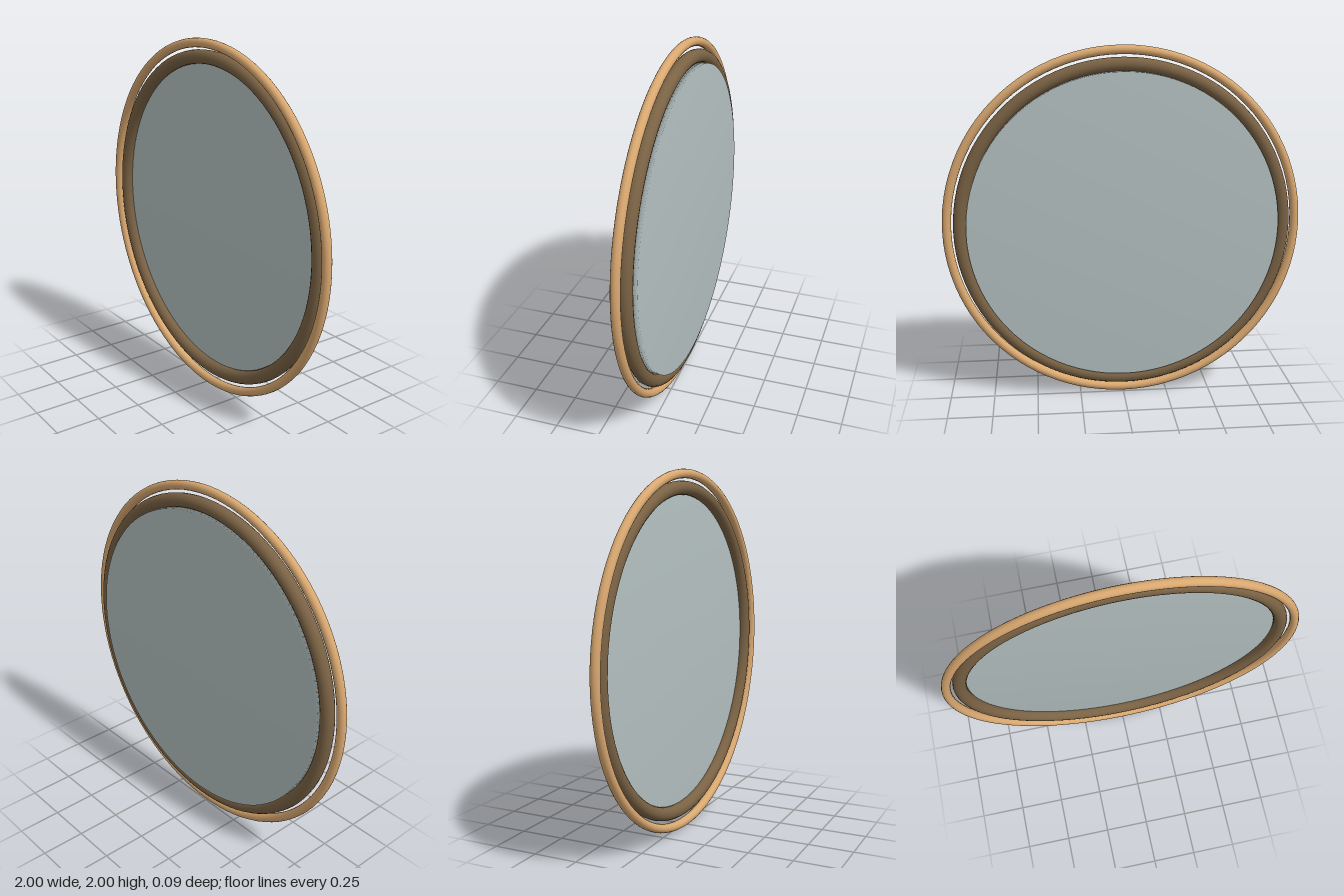
import * as THREE from 'three';

export function createModel() {
  const model = new THREE.Group();

  const add = (name, geometry, color, z) => {
    const mesh = new THREE.Mesh(geometry, new THREE.MeshStandardMaterial({ color }));
    mesh.name = name;
    mesh.position.set(0, 1, z);
    model.add(mesh);
  };

  // Slim outer hoop, set slightly forward
  add('outerRing', new THREE.TorusGeometry(0.975, 0.025, 16, 96), 0xd9a870, 0.02);

  // Thicker inner frame holding the pane
  add('innerFrame', new THREE.TorusGeometry(0.9, 0.038, 16, 96), 0x7a6244, 0);

  // Flat round pane with softened rim normals, standing proud at the back
  const profile = [[0, -0.02], [0.865, -0.02], [0.865, 0.02], [0, 0.02]]
    .map(([r, h]) => new THREE.Vector2(r, h));
  add('glassPane', new THREE.LatheGeometry(profile, 96).rotateX(Math.PI / 2), 0xb4c0c0, -0.03);

  return model;
}
